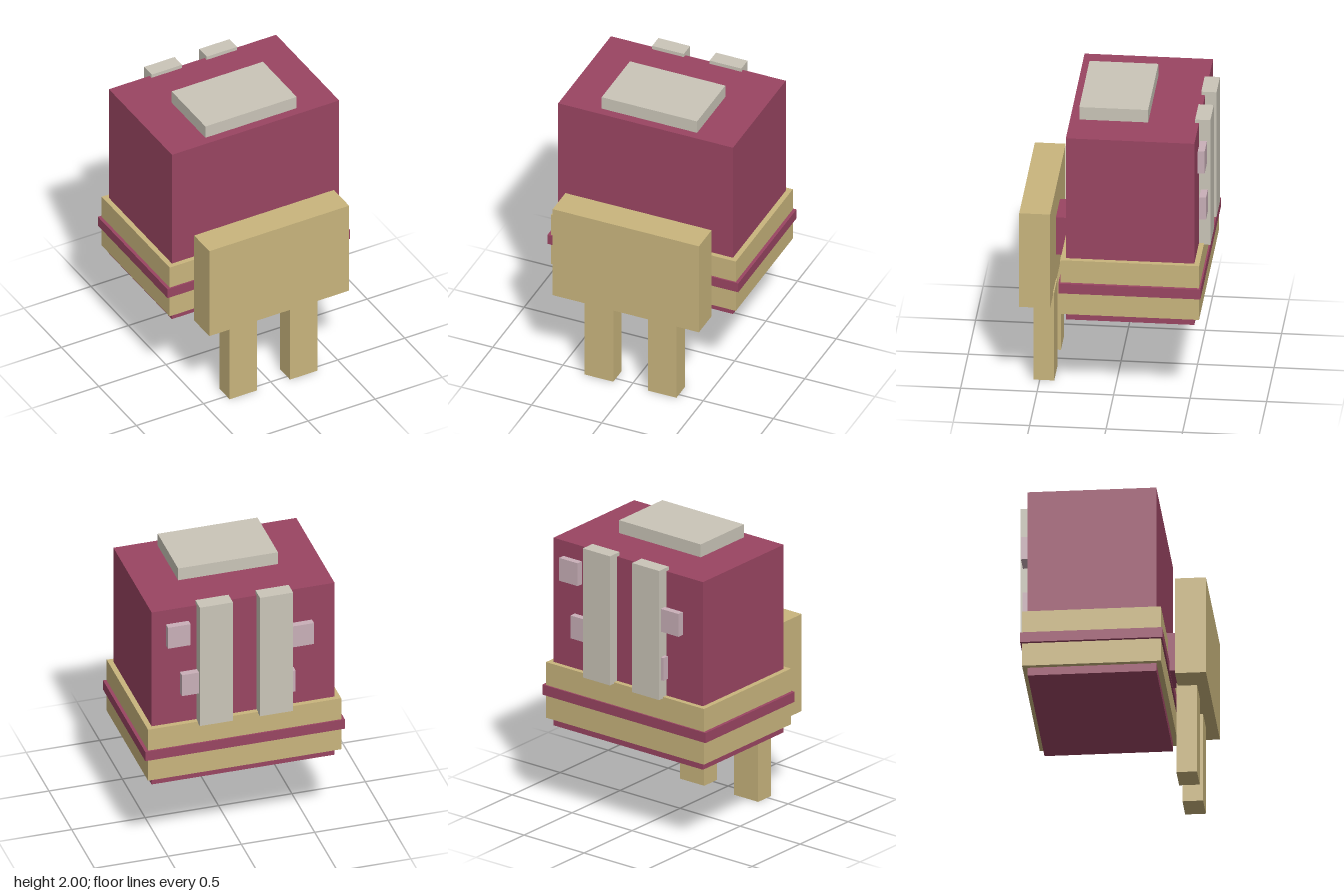
import * as THREE from 'three';

const mat = (name, color) => {
  const m = new THREE.MeshStandardMaterial({ color });
  m.name = name;
  return m;
};

export function createModel() {
  const maroon = mat('maroon', 0x9a4562);
  const tan = mat('tan', 0xc9b57d);
  const grey = mat('warmGrey', 0xcac5b8);
  const pink = mat('palePink', 0xc9b0b8);
  const model = new THREE.Group();
  model.name = 'boxCharacter';

  // Box given by its extents along each axis
  const box = (name, material, [x0, x1], [y0, y1], [z0, z1]) => {
    const mesh = new THREE.Mesh(new THREE.BoxGeometry(x1 - x0, y1 - y0, z1 - z0), material);
    mesh.position.set((x0 + x1) / 2, (y0 + y1) / 2, (z0 + z1) / 2);
    mesh.name = name;
    model.add(mesh);
  };

  // Main body with its lid
  box('body', maroon, [-0.623, 0.623], [0.595, 1.91], [-0.54, 0.3]);
  box('lid', grey, [-0.34, 0.34], [1.91, 2], [-0.21, 0.24]);

  // Wide band with a thin belt around its middle
  box('band', tan, [-0.658, 0.658], [0.65, 1.04], [-0.574, 0.333]);
  box('belt', maroon, [-0.68, 0.68], [0.81, 0.88], [-0.585, 0.344]);

  // Front panel and the block joining it to the body
  box('connector', maroon, [-0.137, 0.137], [0.82, 1.09], [0.31, 0.415]);
  box('frontPanel', tan, [-0.521, 0.521], [0.62, 1.3], [0.413, 0.615]);

  // Legs and back straps, mirrored
  for (const [side, s] of [['left', 1], ['right', -1]]) {
    const span = (a, b) => (s > 0 ? [a, b] : [-b, -a]);
    box(side + 'Leg', tan, span(0.123, 0.327), [0, 0.64], [0.405, 0.54]);
    box(side + 'Strap', grey, span(0.092, 0.318), [1.03, 1.935], [-0.615, -0.515]);
  }

  // Small studs beside the straps: left edge x and bottom y
  [[0.375, 1.65], [0.28, 1.27], [-0.465, 1.505], [-0.34, 1.165]].forEach(([x, y], i) =>
    box('stud' + (i + 1), pink, [x, x + 0.155], [y, y + 0.16], [-0.598, -0.553]));

  return model;
}
